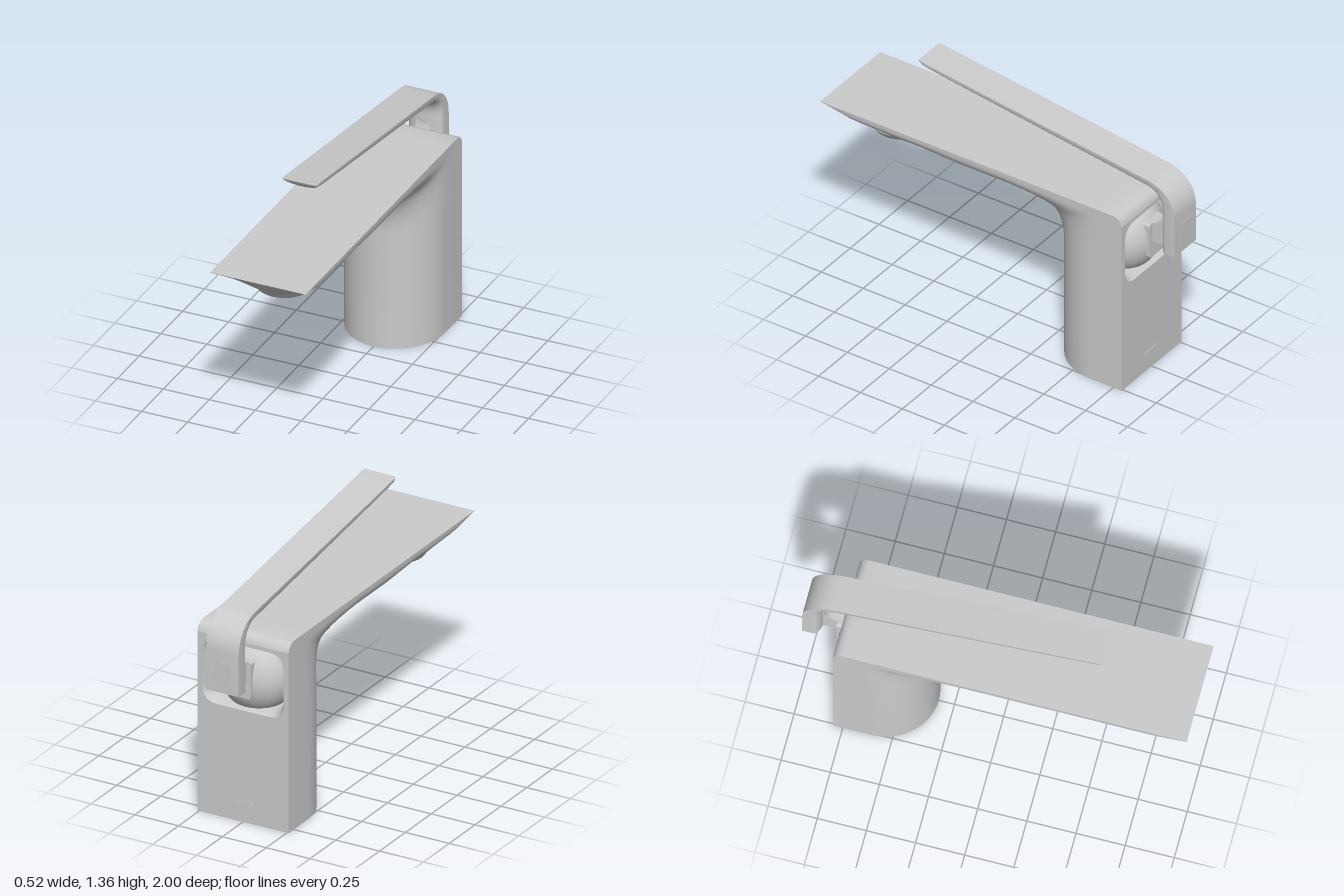
import * as THREE from 'three';
import { toCreasedNormals, mergeVertices } from 'three/addons/utils/BufferGeometryUtils.js';

const mat = new THREE.MeshStandardMaterial({ color: 0xcccccc });
const lerp = THREE.MathUtils.lerp;

function add(parent, name, geometry, x = 0, y = 0, z = 0) {
  const mesh = new THREE.Mesh(geometry, mat);
  mesh.name = name;
  mesh.position.set(x, y, z);
  parent.add(mesh);
  return mesh;
}

// D-shaped section between a flat-side point and a crown point, both [z, y]
function dRing({ flat, crown, w, s, p = 1 }, n = 28) {
  const pts = [];
  const put = (x, d) => pts.push(new THREE.Vector3(x, lerp(flat[1], crown[1], d), lerp(flat[0], crown[0], d)));
  put(w, 0);
  for (let j = 0; j <= n; j++) {
    const a = (Math.PI * j) / n, c = Math.cos(a);
    put(w * Math.sign(c) * Math.abs(c) ** p, s + (1 - s) * Math.max(0, Math.sin(a)) ** p);
  }
  put(-w, 0);
  return pts;
}

// Skin over rings; the flat side is closed only up to ring flatEnd
function loft(rings, { flatEnd = Infinity, capStart = true, capEnd = true, crease = 0.6 } = {}) {
  const m = rings[0].length, idx = [], last = (rings.length - 1) * m;
  for (let i = 0; i < rings.length - 1; i++)
    for (let j = 0; j < m; j++) {
      if (j === m - 1 && i >= flatEnd) continue;
      const k = (j + 1) % m, a = i * m + j, b = i * m + k;
      idx.push(a, b, a + m, b, b + m, a + m);
    }
  for (let j = 1; j < m - 1; j++) {
    if (capStart) idx.push(0, j + 1, j);
    if (capEnd) idx.push(last, last + j, last + j + 1);
  }
  const g = new THREE.BufferGeometry().setFromPoints(rings.flat());
  g.setIndex(idx);
  return toCreasedNormals(mergeVertices(g), crease);
}

function roundedRect(w, h, r, Type = THREE.Shape) {
  const s = new Type(), x = w / 2, y = h / 2;
  s.absarc(x - r, y - r, r, 0, Math.PI / 2);
  s.absarc(-x + r, y - r, r, Math.PI / 2, Math.PI);
  s.absarc(-x + r, -y + r, r, Math.PI, Math.PI * 1.5);
  s.absarc(x - r, -y + r, r, Math.PI * 1.5, Math.PI * 2);
  s.closePath();
  return s;
}

// Flat spout bending down into the D-shaped column
function bodyGeometry() {
  const W = 0.26, sec = [];
  const under = [
    [1, 0.985, 1.012], [0.96, 0.95, 0.975], [0.9, 0.89, 0.92], [0.84, 0.83, 0.875], [0.78, 0.78, 0.864],
    [0.68, 0.68, 0.862], [0.57, 0.57, 0.864], [0.5, 0.5, 0.876], [0.42, 0.42, 0.89], [0.2, 0.2, 0.893],
  ];
  for (const [zt, zb, yb] of under)
    sec.push({ flat: [zt, 1.025], crown: [zb, yb], w: W, s: 0.15, p: zt > 0.3 ? lerp(1.1, 1.45, Math.min(1, (zt - 0.3) / 0.4)) : 1 });
  // flat-side points around the rounded rear corner
  const flats = [[-0.1, 1.025], [-0.22, 1.025], [-0.36, 1.025], [-0.5, 1.025], [-0.63, 1.025], [-0.75, 1.025],
    [-0.775, 1.018], [-0.793, 1.0], [-0.8, 0.975], [-0.8, 0.88], [-0.8, 0.77], [-0.8, 0.65]];
  flats.forEach((flat, k) => {
    const t = k / (flats.length - 1), a = (t * Math.PI) / 2;
    sec.push({ flat, crown: [-0.1 - 0.23 * Math.sin(a), 0.65 + 0.243 * Math.cos(a)], w: W, s: lerp(0.15, 0.4, t) });
  });
  sec.push({ flat: [-0.8, 0], crown: [-0.33, 0], w: W, s: 0.4 });
  return loft(sec.map((q) => dRing(q)), { flatEnd: under.length + 8 });
}

// Lever: tapered paddle, bend and vertical stem
function leverGeometry() {
  const W = 0.093, sec = [
    { flat: [0.53, 1.36], crown: [0.525, 1.345], w: W - 0.006, s: 0.3 },
    { flat: [0.515, 1.358], crown: [0.5, 1.322], w: W, s: 0.3 },
    { flat: [0.46, 1.351], crown: [0.45, 1.306], w: W, s: 0.3 },
    { flat: [0.4, 1.343], crown: [0.39, 1.296], w: W, s: 0.3 },
  ];
  for (let k = 0; k <= 8; k++) {
    const a = lerp(0.13, Math.PI / 2, k / 8), s = Math.sin(a), c = Math.cos(a);
    sec.push({ flat: [-0.82 - 0.18 * s, 1.005 + 0.175 * c], crown: [-0.83 - 0.073 * s, 1.02 + 0.095 * c], w: W, s: lerp(0.3, 0.6, k / 8) });
  }
  sec.push({ flat: [-1, 0.78], crown: [-0.905, 0.78], w: W, s: 0.6 });
  return loft(sec.map((q) => dRing(q, 16)));
}

export function createModel() {
  const model = new THREE.Group();
  model.name = 'faucet';
  add(model, 'body', bodyGeometry());

  // Rear wall with the opening for the valve ball
  const openY = 0.78, openW = 0.46, openH = 0.35;
  const wall = new THREE.Shape([[-0.26, 0], [0.26, 0], [0.26, 0.975], [-0.26, 0.975]].map(([x, y]) => new THREE.Vector2(x, y)));
  const rim = roundedRect(openW, openH, 0.07, THREE.Path).getSpacedPoints(48).slice(0, 48);
  wall.holes.push(new THREE.Path(rim.map((q) => new THREE.Vector2(q.x, q.y + openY))));
  add(model, 'rearWall', new THREE.ShapeGeometry(wall).rotateY(Math.PI), 0, 0, -0.8);

  // Tapering pocket behind the opening
  const pocket = [[1, -0.8], [0.95, -0.78], [0.9, -0.72], [0.86, -0.62]].map(([k, z]) =>
    rim.map((q) => new THREE.Vector3(q.x * k, openY + q.y * k, z)));
  add(model, 'valvePocket', loft(pocket, { capStart: false }))
    .material = new THREE.MeshStandardMaterial({ color: 0xcccccc, side: THREE.DoubleSide });

  // Valve ball and the plate that carries the arm
  const valve = new THREE.Group();
  valve.name = 'valve';
  model.add(valve);
  add(valve, 'valveBall', new THREE.SphereGeometry(1, 40, 28).scale(0.2, 0.21, 0.17), 0, 0.77, -0.66);
  const plate = new THREE.ExtrudeGeometry(roundedRect(0.13, 0.2, 0.015), { depth: 0.06, bevelEnabled: false });
  add(valve, 'armPlate', plate, 0, 0.79, -0.832);

  // Lever with its filleted arm
  const lever = new THREE.Group();
  lever.name = 'lever';
  model.add(lever);
  add(lever, 'handle', leverGeometry());
  const arm = new THREE.Shape();
  arm.moveTo(-0.95, 0.782);
  arm.lineTo(-0.72, 0.782);
  arm.lineTo(-0.72, 0.89);
  arm.lineTo(-0.82, 0.89);
  arm.quadraticCurveTo(-0.9, 0.89, -0.905, 0.98);
  arm.lineTo(-0.95, 0.98);
  arm.closePath();
  const armGeo = new THREE.ExtrudeGeometry(arm, { depth: 0.08, bevelEnabled: false, curveSegments: 10 });
  add(lever, 'arm', toCreasedNormals(armGeo.translate(0, 0, -0.04).rotateY(-Math.PI / 2), 0.6));

  // Small inlaid panels on the stem and at the foot of the column
  const inlay = (w, h, r) => new THREE.ExtrudeGeometry(roundedRect(w, h, r), { depth: 0.01, bevelEnabled: false });
  add(lever, 'stemInlay', inlay(0.095, 0.145, 0.008), 0, 0.875, -1.002);
  add(model, 'footInlay', inlay(0.12, 0.06, 0.016), 0, 0.08, -0.803);

  // Outlet: boss, rim ring and perforated screen
  const outlet = new THREE.Group();
  outlet.name = 'outlet';
  outlet.position.z = 0.69;
  model.add(outlet);
  const lathe = (pts) => toCreasedNormals(new THREE.LatheGeometry(pts.map(([x, y]) => new THREE.Vector2(x, y)), 40), 0.6);
  add(outlet, 'boss', lathe([[0.095, 0.875], [0.098, 0.858], [0.125, 0.857], [0.14, 0.866], [0.165, 0.9]]));
  add(outlet, 'aeratorRing', lathe([[0.066, 0.86], [0.066, 0.842], [0.072, 0.838], [0.08, 0.838], [0.086, 0.844], [0.086, 0.88]]));
  add(outlet, 'aeratorScreen', lathe([[0, 0.832], [0.035, 0.834], [0.055, 0.84], [0.067, 0.85]]));
  const bead = new THREE.SphereGeometry(0.0045, 6, 4);
  for (let r = 1; r <= 4; r++)
    for (let k = 0; k < r * 6; k++) {
      const a = (k / (r * 6)) * Math.PI * 2, d = r * 0.0125;
      add(outlet, 'screenBead', bead, d * Math.cos(a), 0.832 + d * d * 2.6, d * Math.sin(a));
    }
  return model;
}
